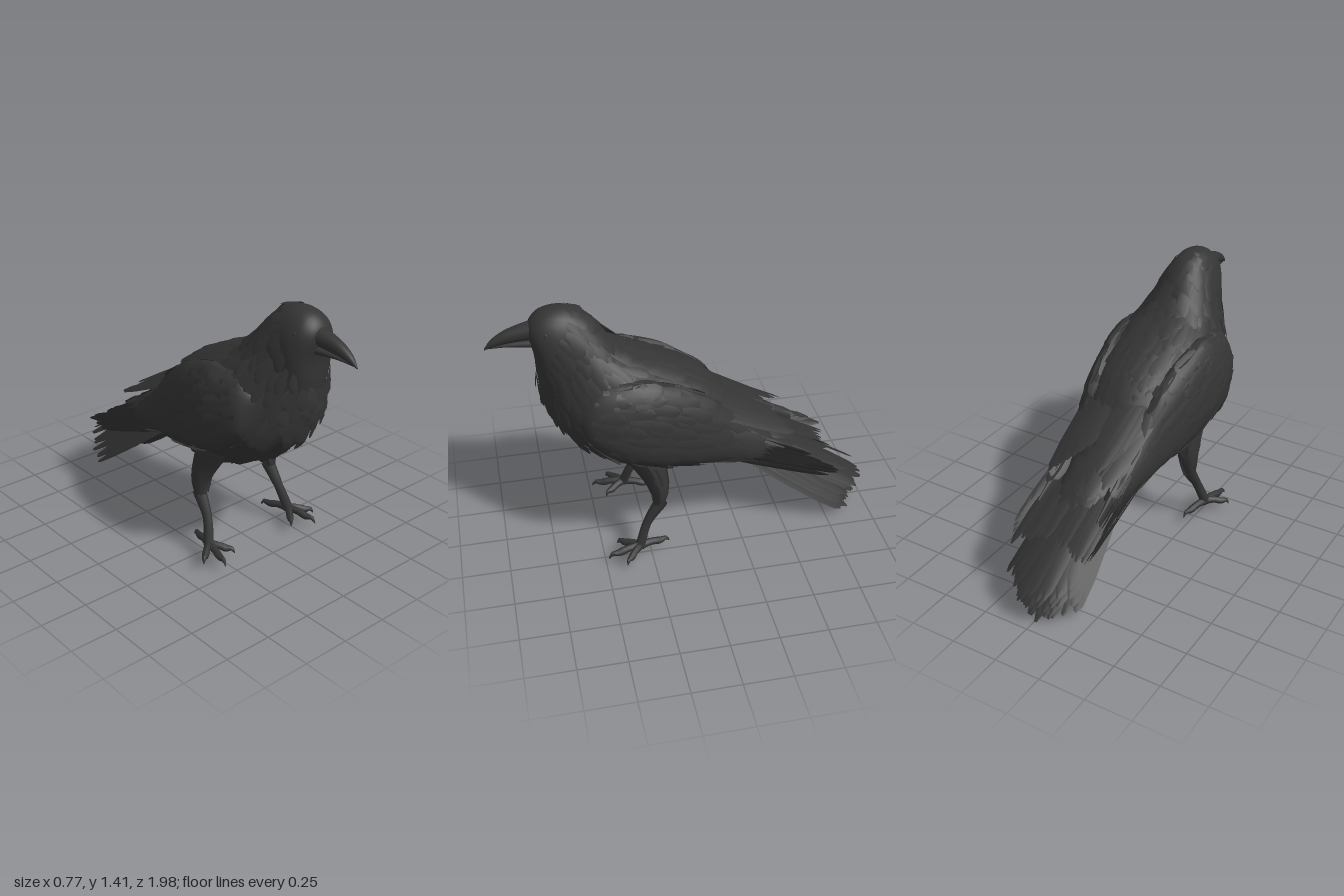
import * as THREE from 'three';
import { mergeGeometries, mergeVertices } from 'three/addons/utils/BufferGeometryUtils.js';

const V = (x, y, z) => new THREE.Vector3(x, y, z);
const charcoal = new THREE.MeshStandardMaterial({ color: 0x343434, side: THREE.DoubleSide });
charcoal.name = 'charcoal plumage';

// small seeded random in -1..1
let seed = 7;
const rnd = () => {
  seed = (seed * 16807) % 2147483647;
  return (seed / 2147483647) * 2 - 1;
};

// grid of points: rows run along the part, columns run across it
function grid(rows) {
  const n = rows[0].length, pos = [], index = [];
  rows.forEach((row) => row.forEach((p) => pos.push(p.x, p.y, p.z)));
  for (let i = 0; i < rows.length - 1; i++) {
    for (let j = 0; j < n - 1; j++) {
      const a = i * n + j;
      index.push(a, a + 1, a + n, a + 1, a + n + 1, a + n);
    }
  }
  let g = new THREE.BufferGeometry();
  g.setAttribute('position', new THREE.Float32BufferAttribute(pos, 3));
  g.setIndex(index);
  g = mergeVertices(g, 1e-5);
  g.computeVertexNormals();
  return g;
}

// surface through oval sections [topZ, topY, bottomZ, bottomY, halfWidth, centreX, inward lean of the top]
function surface(sections, side = 1) {
  const curve = (f) => new THREE.CatmullRomCurve3(sections.map(f));
  const top = curve((s) => V(0, s[1], s[0]));
  const bottom = curve((s) => V(0, s[3], s[2]));
  const width = curve((s) => V(s[4], s[5] || 0, s[6] || 0));
  return (u, v) => {
    const t = top.getPoint(u), b = bottom.getPoint(u), w = width.getPoint(u), a = v * Math.PI * 2;
    const p = t.clone().add(b).multiplyScalar(0.5).addScaledVector(t.sub(b), Math.cos(a) / 2);
    p.x = (w.y - w.z * Math.cos(a)) * side + w.x * Math.sin(a);
    return p;
  };
}

function loft(P, nu, nv) {
  const rows = [];
  for (let i = 0; i <= nu; i++) {
    rows.push(Array.from({ length: nv + 1 }, (_, j) => P(i / nu, (j % nv) / nv)));
  }
  return grid(rows);
}

// one blade from a to b, with a raised shaft and a rounded tip
function feather(a, b, side) {
  const d = b.clone().sub(a);
  const up = side.clone().cross(d).normalize().multiplyScalar(side.length() * 0.18);
  const rows = [[0, 0.5], [0.35, 0.9], [0.7, 1], [0.92, 0.75], [1, 0.2]].map(([t, w]) => {
    const c = a.clone().addScaledVector(d, t);
    return [c.clone().addScaledVector(side, -w), c.clone().addScaledVector(up, w), c.clone().addScaledVector(side, w)];
  });
  return grid(rows);
}

// overlapping contour feathers lying on a surface
function plumage(P, u0, u1, rows, cols, du, half, lift) {
  const list = [];
  for (let i = 0; i < rows; i++) {
    for (let j = 0; j < cols; j++) {
      const u = u0 + ((u1 - u0) * (i + 0.35 * rnd())) / (rows - 1);
      const v = (j + (i % 2) / 2 + 0.25 * rnd()) / cols;
      const a = P(u, v), b = P(Math.min(1, u + du * (1 + 0.3 * rnd())), v + 0.012 * rnd());
      const across = P(u, v + 0.01).sub(P(u, v - 0.01)).normalize();
      const n = across.clone().cross(b.clone().sub(a)).normalize();
      const under = (1 - Math.cos(v * Math.PI * 2)) / 2;
      b.addScaledVector(n, lift * (0.5 + 1.3 * under + 0.4 * rnd()));
      a.addScaledVector(n, 0.002);
      list.push(feather(a, b, across.multiplyScalar(half * (1 + 0.25 * rnd()))));
    }
  }
  return mergeGeometries(list);
}

// tapered limb along a curve
function limb(points, radii, steps = 12) {
  const curve = new THREE.CatmullRomCurve3(points);
  const g = new THREE.TubeGeometry(curve, steps, 1, 8);
  const pos = g.attributes.position, p = V(), last = radii.length - 1;
  for (let i = 0; i < pos.count; i++) {
    const t = Math.floor(i / 9) / steps, k = Math.min(last - 1, Math.floor(t * last));
    const c = curve.getPointAt(t);
    p.fromBufferAttribute(pos, i).sub(c).multiplyScalar(THREE.MathUtils.lerp(radii[k], radii[k + 1], t * last - k)).add(c);
    pos.setXYZ(i, p.x, p.y, p.z);
  }
  g.computeVertexNormals();
  return g;
}

export function createModel() {
  seed = 7;
  const model = new THREE.Group();
  model.name = 'blackBird';
  const add = (name, geometry, parent = model) => {
    const m = new THREE.Mesh(geometry, charcoal);
    m.name = name;
    parent.add(m);
    return m;
  };

  // head, neck, breast and rump in one skin
  const body = surface([
    [0.79, 1.28, 0.79, 1.26, 0.02], [0.775, 1.335, 0.775, 1.2, 0.07], [0.72, 1.385, 0.765, 1.14, 0.108],
    [0.63, 1.4, 0.76, 1.05, 0.135], [0.53, 1.37, 0.745, 0.95, 0.15], [0.45, 1.275, 0.715, 0.84, 0.19],
    [0.37, 1.17, 0.655, 0.72, 0.26], [0.24, 1.105, 0.56, 0.62, 0.312], [0.08, 1.035, 0.42, 0.53, 0.318],
    [-0.07, 0.95, 0.23, 0.45, 0.285], [-0.19, 0.835, 0, 0.425, 0.24], [-0.28, 0.67, -0.2, 0.465, 0.18],
    [-0.5, 0.54, -0.42, 0.39, 0.14], [-0.66, 0.4, -0.64, 0.29, 0.11],
  ]);
  add('body', loft(body, 52, 32));
  add('bodyFeathers', plumage(body, 0.26, 0.9, 16, 26, 0.08, 0.034, 0.012));

  // beak halves
  add('upperBeak', loft(surface([
    [1, 1.206, 1, 1.198, 0.003], [0.965, 1.25, 0.96, 1.212, 0.018], [0.9, 1.292, 0.9, 1.225, 0.031],
    [0.8, 1.325, 0.8, 1.235, 0.045], [0.72, 1.34, 0.72, 1.24, 0.065],
  ]), 14, 14));
  add('lowerBeak', loft(surface([
    [0.975, 1.213, 0.975, 1.203, 0.004], [0.9, 1.232, 0.9, 1.208, 0.024],
    [0.8, 1.245, 0.8, 1.2, 0.042], [0.72, 1.25, 0.72, 1.19, 0.06],
  ]), 10, 12));

  // tail: closely stacked fans of long feathers
  const tail = [];
  for (let k = 0; k < 6; k++) {
    for (let i = -4; i <= 4; i++) {
      const f = i / 4, t = k / 5;
      const root = V(f * 0.1, 0.47 + 0.1 * t - 0.03 * f * f, -0.27 - 0.12 * t);
      const tip = V(f * 0.168 + 0.015 * rnd(), 0.002 + 0.165 * t + 0.045 * f * f + 0.01 * rnd(),
        -0.92 - 0.06 * t + 0.1 * f * f + 0.018 * rnd());
      tail.push(feather(root, tip, V(0.036, -0.024 * f, 0)));
    }
  }
  add('tailFeathers', mergeGeometries(tail));

  for (const s of [1, -1]) {
    const name = s > 0 ? 'left' : 'right';

    // folded wing
    const wing = new THREE.Group();
    wing.name = name + 'Wing';
    model.add(wing);
    const skin = surface([
      [0.59, 0.96, 0.6, 0.9, 0.015, 0.215], [0.48, 1.045, 0.55, 0.77, 0.065, 0.242, 0.02],
      [0.3, 1.06, 0.42, 0.66, 0.085, 0.252, 0.03], [0.1, 0.995, 0.22, 0.6, 0.082, 0.24, 0.035],
      [-0.1, 0.87, 0, 0.56, 0.066, 0.21, 0.035], [-0.25, 0.69, -0.2, 0.53, 0.045, 0.185, 0.02],
      [-0.45, 0.575, -0.42, 0.45, 0.025, 0.17], [-0.62, 0.47, -0.62, 0.38, 0.01, 0.175],
    ], s);
    add('wingShell', loft(skin, 32, 20), wing);
    add('wingCoverts', plumage(skin, 0.14, 0.75, 9, 14, 0.14, 0.034, 0.008), wing);

    // long flight feathers along the flank
    const flight = [];
    for (let i = 0; i < 9; i++) {
      const t = i / 8;
      const root = V(s * (0.205 - 0.03 * t), 0.55 + 0.13 * t, -0.08 - 0.06 * t);
      const tip = V(s * (0.2 + 0.03 * Math.sin(t * 3)), 0.31 + 0.16 * t, -0.79 + 0.23 * Math.abs(t - 0.25) + 0.02 * rnd());
      flight.push(feather(root, tip, V(s * 0.014, 0.03, 0.012).multiplyScalar(-s)));
    }
    add('flightFeathers', mergeGeometries(flight), wing);

    // wing tips folded flat over the tail
    const tips = [];
    for (let i = 0; i < 7; i++) {
      const t = i / 6;
      const root = V(s * (0.03 + 0.13 * t), 0.66 - 0.03 * t, -0.25);
      const tip = V(s * (0.04 + 0.15 * t), 0.37 - 0.04 * t, -0.76 - 0.05 * t + 0.03 * rnd());
      tips.push(feather(root, tip, V(0.03, -0.01 * s * t, 0)));
    }
    add('wingTipFeathers', mergeGeometries(tips), wing);

    // upper wing feathers crossing the back
    const back = [];
    for (let i = 0; i < 7; i++) {
      const t = i / 6;
      const root = V(s * (0.03 + 0.17 * t), 0.965 - 0.1 * t * t, 0.02);
      const tip = V(s * (0.03 + 0.13 * t), 0.7 - 0.1 * t, -0.4 - 0.15 * t + 0.02 * rnd());
      back.push(feather(root, tip, V(0.036, -0.016 * s * t, 0)));
    }
    add('backFeathers', mergeGeometries(back), wing);

    // leg and foot
    const leg = new THREE.Group();
    leg.name = name + 'Leg';
    model.add(leg);
    const at = (x, y, z) => V(x * s, y, z);
    add('thigh', limb([at(0.19, 0.63, 0.29), at(0.21, 0.5, 0.225), at(0.235, 0.38, 0.198), at(0.24, 0.27, 0.21)],
      [0.09, 0.078, 0.052, 0.022]), leg);
    const tufts = [];
    for (let i = 0; i < 24; i++) {
      const a = i * 2.4, y = 0.56 - 0.006 * i, r = 0.07 - 0.0013 * i;
      const c = Math.cos(a), q = Math.sin(a);
      tufts.push(feather(at(0.21 + r * c, y, 0.23 + r * q - 0.0015 * i),
        at(0.23 + r * c * 0.75, y - 0.12, 0.2 + r * q * 0.8), V(-q * s, 0, c).multiplyScalar(-0.022 * s)));
    }
    add('thighFeathers', mergeGeometries(tufts), leg);
    add('shank', limb([at(0.238, 0.32, 0.19), at(0.25, 0.2, 0.268), at(0.28, 0.07, 0.315)], [0.036, 0.024, 0.027]), leg);
    const toes = [[0.315, 0.488], [0.2, 0.425], [0.385, 0.4], [0.235, 0.15]].map(([x, z]) => {
      const on = (t, y) => at(0.28 + (x - 0.28) * t, y, 0.315 + (z - 0.315) * t);
      return limb([on(-0.08, 0.07), on(0.35, 0.072), on(0.7, 0.06), on(0.88, 0.064), on(1, 0.038)],
        [0.024, 0.021, 0.018, 0.02, 0.013, 0.002]);
    });
    add('toes', mergeGeometries(toes), leg);

    // eye
    const eye = add(name + 'Eye', new THREE.SphereGeometry(0.018, 12, 8));
    eye.position.set(s * 0.097, 1.3, 0.705);
  }
  return model;
}
